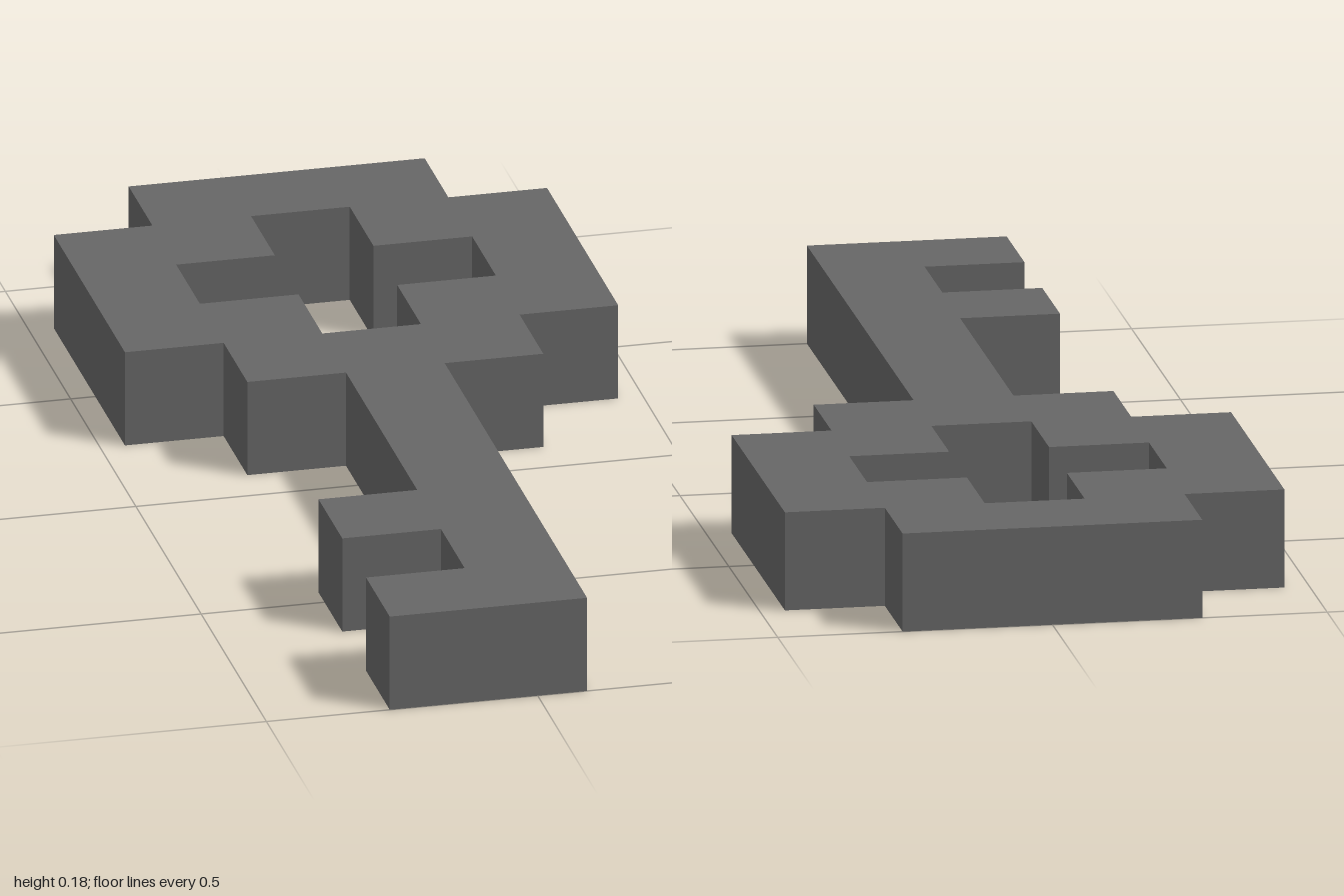
import * as THREE from 'three';

const U = 2 / 11; // one pixel of the blocky key

// Pixel coordinates: x from the centre line, row counted from the back end
const toPoints = (cells) => cells.map(([x, row]) => new THREE.Vector2(x * U, row * U - 1));

// Mirror a right-hand half outline across the centre line
const mirrored = (half) => [...half, ...half.map(([x, row]) => [-x, row]).reverse()];

export function createModel() {
  const steel = new THREE.MeshStandardMaterial({ color: 0x666666 });
  steel.name = 'dark grey';

  // Stepped round bow, narrow shaft and two teeth on the -x side
  const bowSide = [[1.5, 0], [1.5, 1], [2.5, 1], [2.5, 4], [1.5, 4], [1.5, 5], [0.5, 5]];
  const teeth = [
    [0.5, 11], [-1.5, 11], [-1.5, 10], [-0.5, 10],
    [-0.5, 9], [-1.5, 9], [-1.5, 8], [-0.5, 8],
  ];
  const bowOtherSide = bowSide.map(([x, row]) => [-x, row]).reverse();
  const outline = new THREE.Shape(toPoints([...bowSide, ...teeth, ...bowOtherSide]));

  // Cross-shaped hole through the bow
  const crossSide = [[0.5, 1], [0.5, 2], [1.5, 2], [1.5, 3], [0.5, 3], [0.5, 4]];
  outline.holes.push(new THREE.Path(toPoints(mirrored(crossSide))));

  // Lay the extrusion flat, standing on y = 0
  const geometry = new THREE.ExtrudeGeometry(outline, { depth: U, bevelEnabled: false });
  geometry.rotateX(Math.PI / 2).translate(0, U, 0);

  const key = new THREE.Mesh(geometry, steel);
  key.name = 'keyBody';

  const model = new THREE.Group();
  model.name = 'key';
  model.add(key);
  return model;
}
